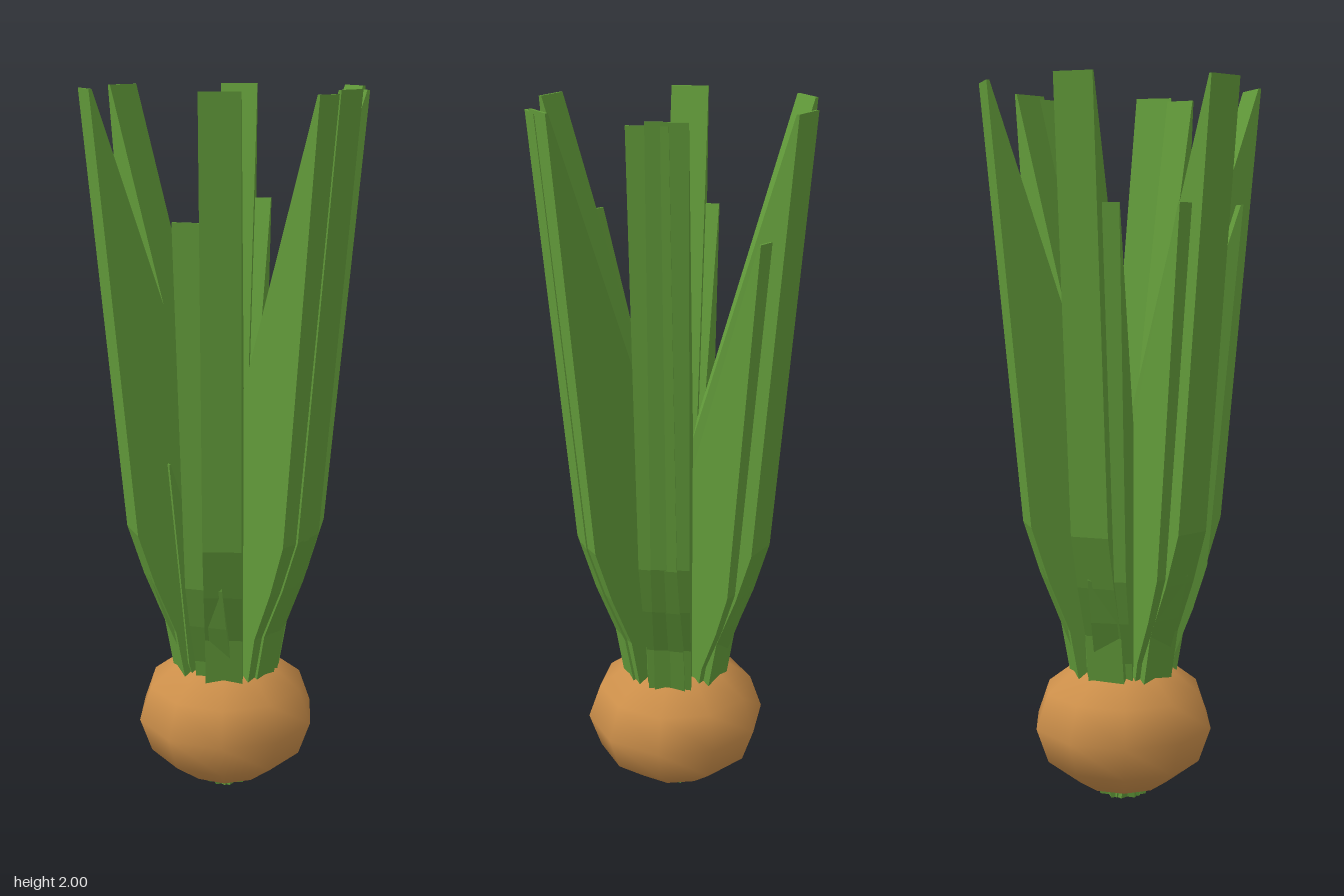
import * as THREE from 'three';

const LEAF_WIDTH = 0.105;

// Leaf side profile as [radius, height]: kinked outer edge, then a straight inner edge back to the axis
const PROFILE = [
  [0, 0], [0.05, 0], [0.145, 0.36], [0.17, 0.5], [0.23, 0.65],
  [0.278, 0.8], [0.388, 2], [0.38, 2], [0, 0.84],
];

function makeLeaf(name, degrees, scale, material) {
  const shape = new THREE.Shape(PROFILE.map(([r, y]) => new THREE.Vector2(r * scale, y * scale)));
  const geometry = new THREE.ExtrudeGeometry(shape, { depth: LEAF_WIDTH, bevelEnabled: false });
  geometry.translate(0, 0, -LEAF_WIDTH / 2);
  const leaf = new THREE.Mesh(geometry, material);
  leaf.name = name;
  leaf.rotation.y = THREE.MathUtils.degToRad(degrees);
  return leaf;
}

export function createModel() {
  const model = new THREE.Group();
  model.name = 'onion';

  const skin = new THREE.MeshStandardMaterial({ color: 0xcc8f4a });
  skin.name = 'onion skin';
  const green = new THREE.MeshStandardMaterial({ color: 0x629b3a });
  green.name = 'leaf green';

  // Flattened round bulb
  const bulbGeometry = new THREE.SphereGeometry(0.26, 10, 6);
  bulbGeometry.rotateY(Math.PI / 2);
  bulbGeometry.scale(1, 0.2 / 0.26, 1);
  const bulb = new THREE.Mesh(bulbGeometry, skin);
  bulb.name = 'bulb';
  bulb.position.y = 0.21;
  model.add(bulb);

  // Leaves in three lengths: [angle in degrees, scale]
  const tiers = {
    tallLeaf: [[3, 1], [-7.5, 0.995], [62, 1], [55, 0.995], [123, 1], [178, 1], [239, 1], [-53.5, 1]],
    middleLeaf: [[114.5, 0.84], [186, 0.84], [232, 0.84], [-66.5, 0.84]],
    shortLeaf: [[52.5, 0.5], [174, 0.5], [243, 0.5]],
  };
  const leaves = new THREE.Group();
  leaves.name = 'leaves';
  for (const [name, list] of Object.entries(tiers)) {
    for (const [degrees, scale] of list) leaves.add(makeLeaf(name, degrees, scale, green));
  }
  model.add(leaves);
  return model;
}
